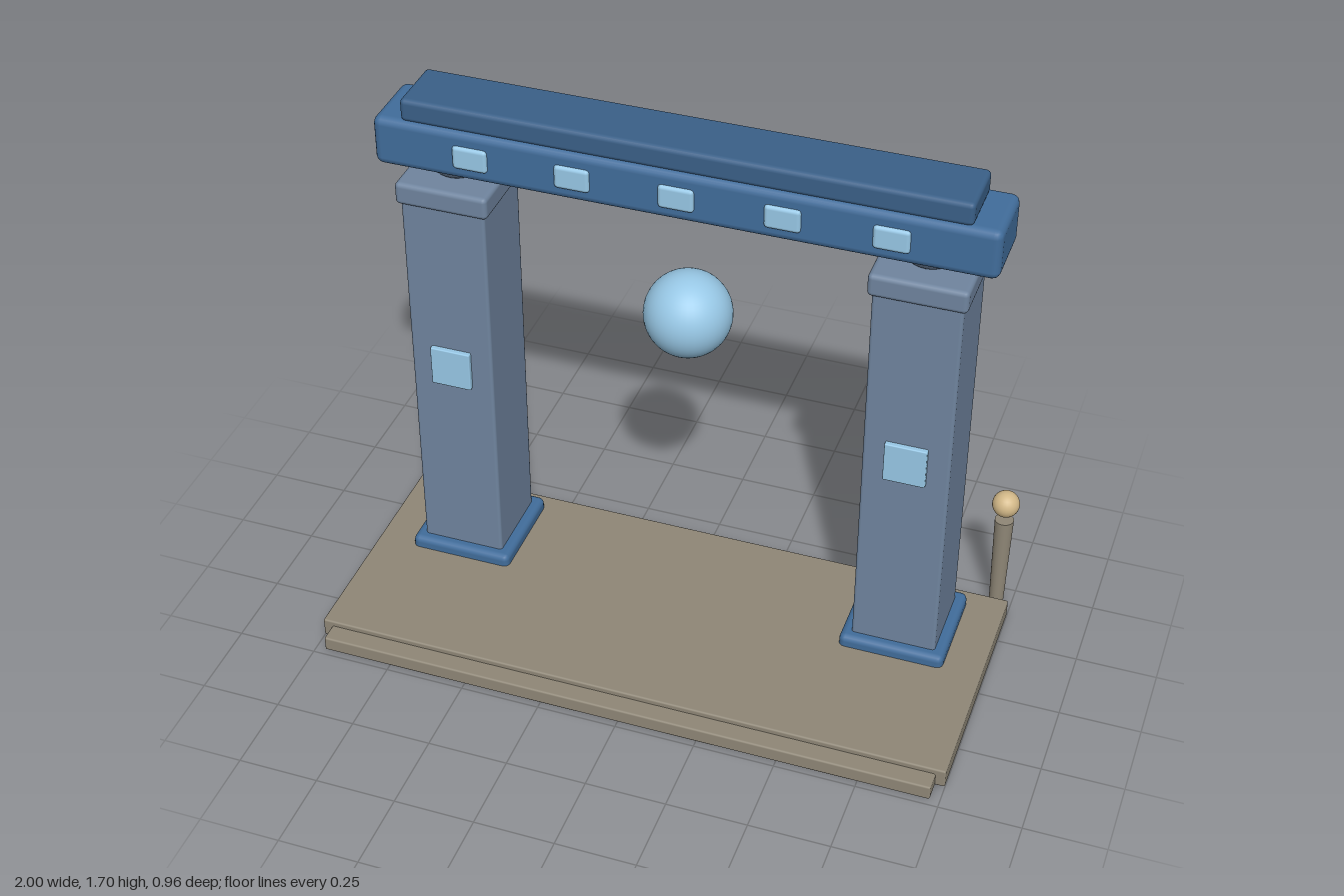
import * as THREE from 'three';
import { RoundedBoxGeometry } from 'three/addons/geometries/RoundedBoxGeometry.js';

const paint = (color) => new THREE.MeshStandardMaterial({ color });
const stone = paint(0x8f8777);
const pillarBlue = paint(0x70859f);
const deepBlue = paint(0x416d9b);
const darkBlue = paint(0x3a6088);
const glow = paint(0x98c8e6);
const gold = paint(0xd2b888);

const GATE_Z = -0.165;

export function createModel() {
  const model = new THREE.Group();

  function add(parent, name, geometry, material, x, y, z) {
    const mesh = new THREE.Mesh(geometry, material);
    mesh.name = name;
    mesh.position.set(x, y, z);
    parent.add(mesh);
    return mesh;
  }

  // Softly bevelled block given by its limits on each axis
  function block(parent, name, [x0, x1], [y0, y1], [z0, z1], bevel, material) {
    const geometry = new RoundedBoxGeometry(x1 - x0, y1 - y0, z1 - z0, 2, bevel);
    return add(parent, name, geometry, material, (x0 + x1) / 2, (y0 + y1) / 2, (z0 + z1) / 2);
  }

  // Platform with a lower front step
  block(model, 'platform', [-1, 1], [0.003, 0.065], [-0.375, 0.42], 0.006, stone);
  block(model, 'frontStep', [-0.97, 0.97], [0, 0.048], [0.38, 0.48], 0.006, stone);

  // Pillars and lamp posts, mirrored left and right
  for (const side of [1, -1]) {
    const label = side > 0 ? 'left' : 'right';

    const pillar = new THREE.Group();
    pillar.name = label + 'Pillar';
    pillar.position.set(side * 0.714, 0, GATE_Z);
    model.add(pillar);
    block(pillar, 'plinth', [-0.165, 0.165], [0.03, 0.103], [-0.165, 0.165], 0.02, deepBlue);
    block(pillar, 'shaft', [-0.132, 0.132], [0.08, 1.38], [-0.132, 0.132], 0.01, pillarBlue);
    block(pillar, 'capital', [-0.145, 0.145], [1.365, 1.438], [-0.145, 0.145], 0.015, pillarBlue);
    block(pillar, 'pillarTile', [-0.064, 0.064], [0.735, 0.867], [0.11, 0.148], 0.004, glow);
    add(pillar, 'bearing', new THREE.SphereGeometry(0.1, 32, 20), pillarBlue, 0, 1.515, 0);

    const lamp = new THREE.Group();
    lamp.name = label + 'Lamp';
    lamp.position.set(side * 0.95, 0, -0.44);
    model.add(lamp);
    add(lamp, 'lampPost', new THREE.CylinderGeometry(0.03, 0.023, 0.325, 20), stone, 0, 0.17, 0);
    add(lamp, 'lampGlobe', new THREE.SphereGeometry(0.043, 24, 16), gold, 0, 0.395, 0);
  }

  // Lintel and the narrower cap beam on top
  block(model, 'lintel', [-0.93, 0.93], [1.47, 1.628], [-0.279, -0.052], 0.025, deepBlue);
  block(model, 'capBeam', [-0.845, 0.845], [1.622, 1.695], [-0.264, -0.066], 0.015, darkBlue);

  // Light tiles running through the lintel, showing front and back
  for (let i = -2; i <= 2; i++) {
    const x = i * 0.3125;
    block(model, 'lintelTile', [x - 0.054, x + 0.054], [1.51, 1.585], [-0.288, -0.042], 0.012, glow);
  }

  // Floating orb in the opening
  add(model, 'orb', new THREE.SphereGeometry(0.134, 40, 28), glow, 0, 1.08, GATE_Z);

  return model;
}
